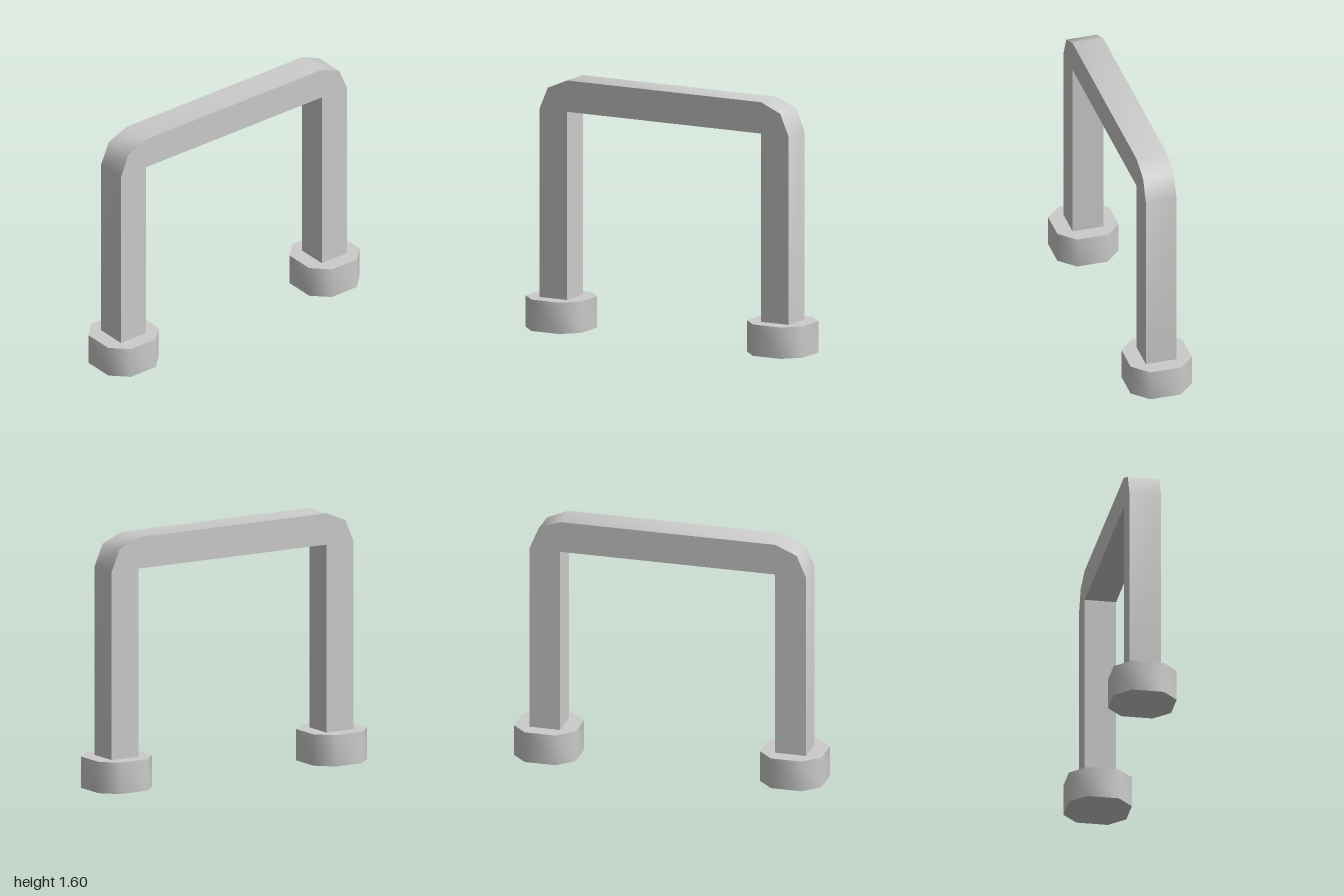
import * as THREE from 'three';
import { toCreasedNormals } from 'three/addons/utils/BufferGeometryUtils.js';

const material = new THREE.MeshStandardMaterial({ color: 0xcccccc });

// Extrude an outline along +z, smoothing the shallow bends only
function extrude(points, depth) {
  const shape = new THREE.Shape(points.map(([x, y]) => new THREE.Vector2(x, y)));
  const geometry = new THREE.ExtrudeGeometry(shape, { depth, bevelEnabled: false });
  return toCreasedNormals(geometry, THREE.MathUtils.degToRad(50));
}

function addMesh(parent, name, geometry) {
  const mesh = new THREE.Mesh(geometry, material);
  mesh.name = name;
  parent.add(mesh);
  return mesh;
}

export function createModel() {
  const model = new THREE.Group();
  model.name = 'archHandle';

  // Square-section arch with bevelled outer corners; one half is mirrored
  const half = [[0.7, 1.4], [0.7, 0.2], [0.9, 0.2], [0.9, 1.4], [0.84, 1.54], [0.7, 1.6]];
  const mirrored = half.map(([x, y]) => [-x, y]).reverse();
  const arch = addMesh(model, 'arch', extrude([...half, ...mirrored], 0.2));
  arch.position.z = -0.1;

  // Chamfered square feet, one under each leg
  const octagon = [
    [0.2, -0.1], [0.2, 0.1], [0.1, 0.2], [-0.1, 0.2],
    [-0.2, 0.1], [-0.2, -0.1], [-0.1, -0.2], [0.1, -0.2],
  ];
  const footGeometry = extrude(octagon, 0.2).rotateX(-Math.PI / 2);
  for (const [name, x] of [['leftFoot', 0.8], ['rightFoot', -0.8]]) {
    addMesh(model, name, footGeometry).position.x = x;
  }

  return model;
}
